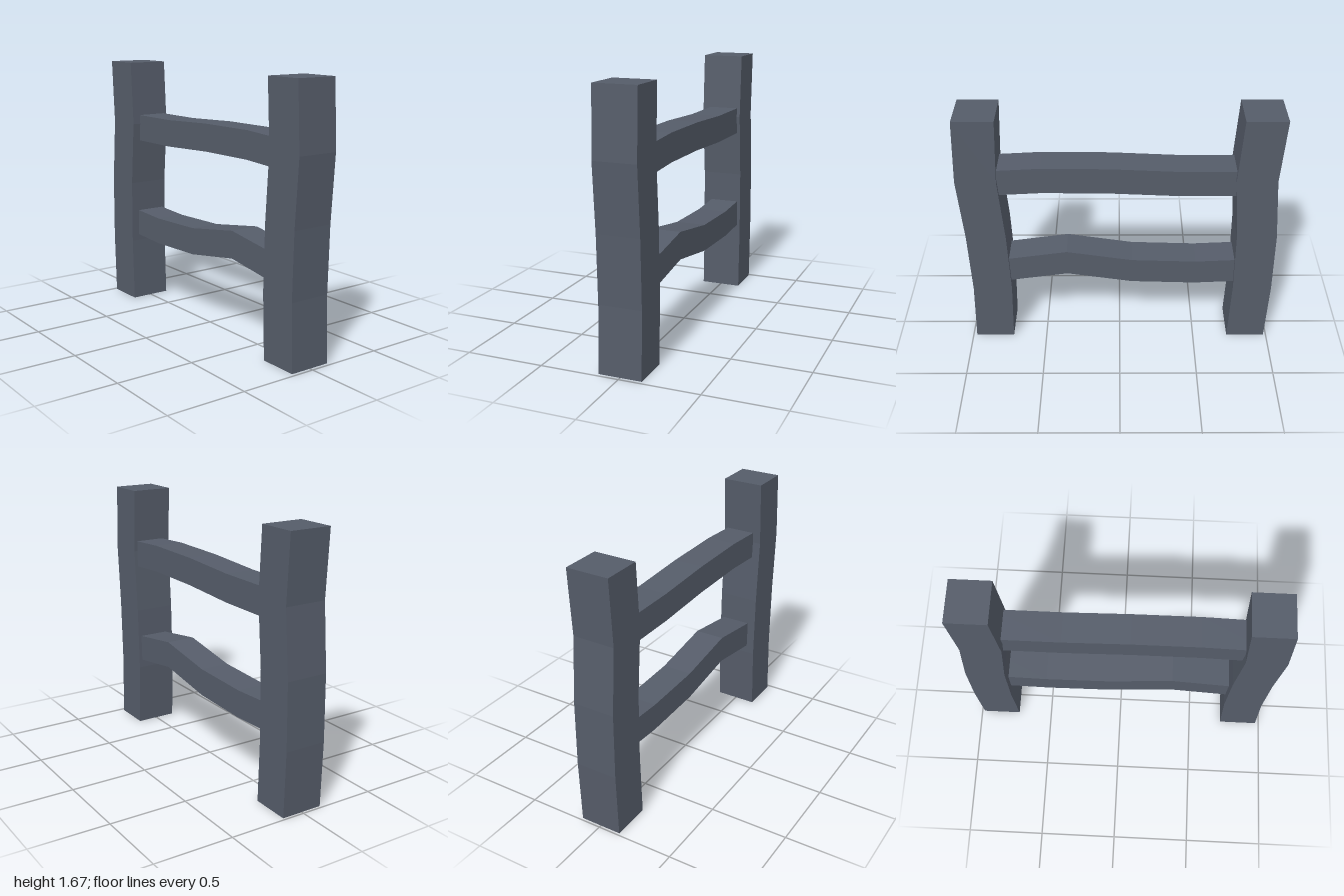
import * as THREE from 'three';

const fencePaint = new THREE.MeshStandardMaterial({ color: 0x555c69 });
fencePaint.name = 'slateGrey';

// Extrudes a side outline of [z, y] points across x from xMin to xMax
function plank(name, outline, xMin, xMax) {
  const shape = new THREE.Shape(outline.map(([z, y]) => new THREE.Vector2(z, y)));
  const geometry = new THREE.ExtrudeGeometry(shape, { depth: xMax - xMin, bevelEnabled: false });
  geometry.rotateY(-Math.PI / 2).translate(xMax, 0, 0);
  const mesh = new THREE.Mesh(geometry, fencePaint);
  mesh.name = name;
  return mesh;
}

// Upright whose centre line wavers in z at evenly spaced heights
function post(name, centres) {
  const height = 1.67, half = 0.126;
  const side = (s) => centres.map((z, i) => [z + s * half, (height * i) / (centres.length - 1)]);
  return plank(name, [...side(1), ...side(-1).reverse()], -0.135, 0.135);
}

// Crooked crossbar: top edge as [z, y] points, constant thickness
function rail(name, top) {
  const bottom = top.map(([z, y]) => [z, y - 0.176]).reverse();
  return plank(name, [...top, ...bottom], -0.081, 0.113);
}

export function createModel() {
  const fence = new THREE.Group();
  fence.name = 'fence';
  fence.add(
    post('frontPost', [0.85, 0.835, 0.845, 0.873, 0.852]),
    post('backPost', [-0.857, -0.871, -0.866, -0.832, -0.856]),
    rail('upperRail', [[0.88, 1.314], [0.48, 1.336], [0.06, 1.332], [-0.35, 1.313], [-0.77, 1.312]]),
    rail('lowerRail', [[0.76, 0.641], [0.34, 0.702], [-0.08, 0.635], [-0.49, 0.622], [-0.9, 0.642]])
  );
  return fence;
}
